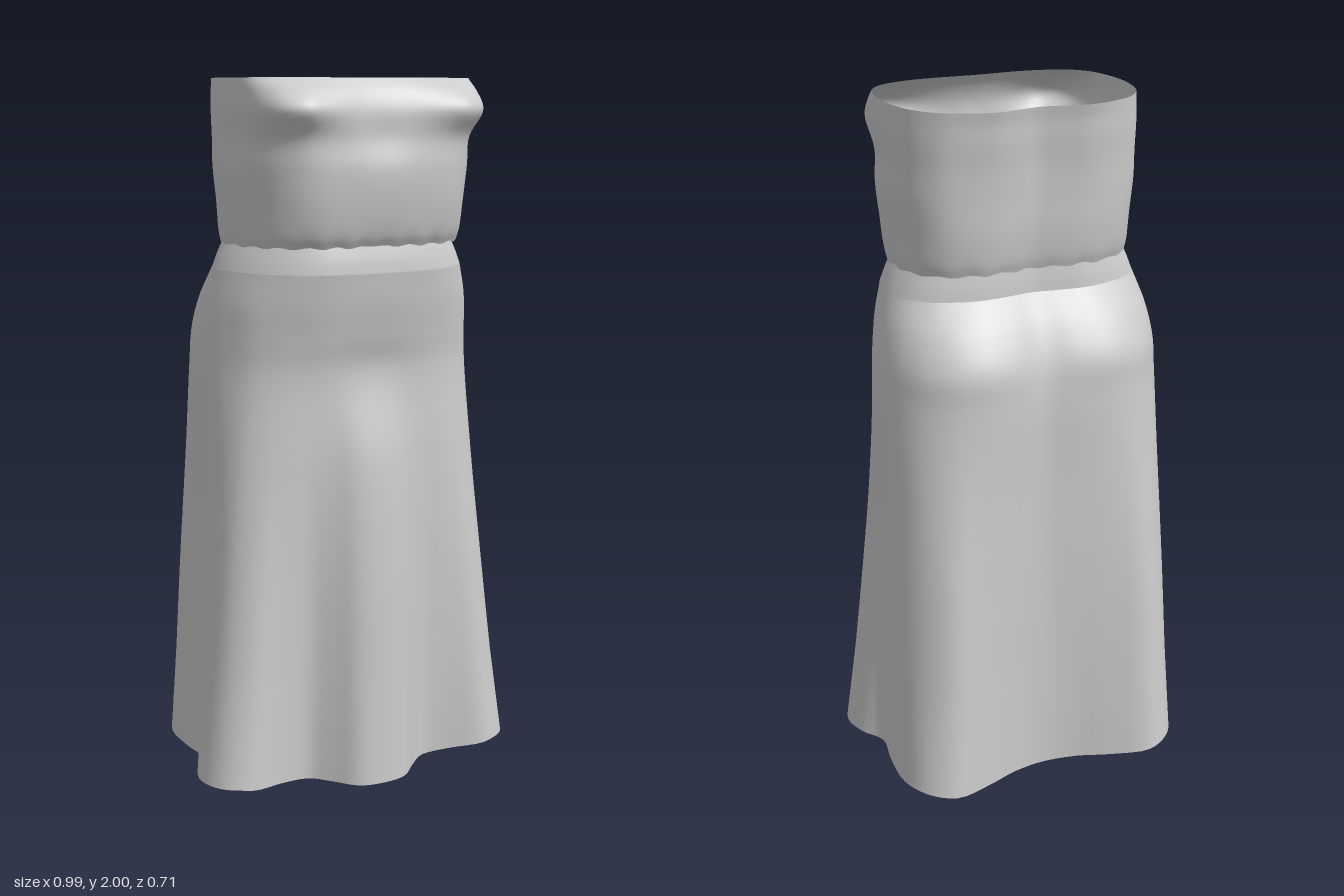
import * as THREE from 'three';

const cloth = new THREE.MeshStandardMaterial({ color: 0xcccccc, side: THREE.DoubleSide });

// Half outlines [x, z, x, z, ...] from centre front, round the left side, to centre back
const hem = [0, .335, .075, .322, .135, .265, .19, .224, .275, .232, .385, .265, .46, .23, .495, .15,
  .475, .07, .43, 0, .44, -.1, .44, -.23, .4, -.31, .32, -.352, .2, -.315, .1, -.275, 0, -.26];
const knee = [0, .318, .07, .306, .13, .265, .185, .237, .255, .235, .345, .23, .405, .185, .43, .12,
  .43, .06, .42, 0, .425, -.08, .42, -.18, .375, -.265, .3, -.317, .19, -.3, .09, -.278, 0, -.265];
const thigh = [0, .293, .065, .284, .125, .258, .18, .242, .24, .232, .31, .21, .365, .172, .397, .12,
  .412, .06, .416, 0, .417, -.08, .403, -.16, .36, -.235, .285, -.285, .19, -.291, .09, -.278, 0, -.265];
const hip = [0, .247, .06, .247, .115, .246, .165, .24, .22, .227, .285, .202, .34, .165, .38, .11,
  .405, .055, .418, 0, .415, -.07, .395, -.14, .35, -.21, .28, -.262, .19, -.285, .09, -.279, 0, -.264];
const seat = [0, .267, .06, .267, .115, .264, .165, .257, .22, .24, .285, .211, .338, .17, .376, .112,
  .4, .057, .412, 0, .407, -.07, .386, -.14, .342, -.208, .273, -.258, .185, -.28, .09, -.271, 0, -.25];
const belly = [0, .287, .06, .286, .115, .282, .165, .274, .22, .256, .28, .223, .333, .177, .368, .118,
  .388, .06, .395, 0, .388, -.065, .366, -.125, .322, -.18, .256, -.22, .177, -.237, .088, -.23, 0, -.213];
const waist = [0, .3, .06, .299, .11, .296, .16, .288, .21, .27, .262, .238, .31, .19, .345, .13,
  .365, .07, .37, .01, .36, -.04, .335, -.09, .29, -.13, .23, -.155, .16, -.17, .08, -.165, 0, -.155];
const midriff = [0, .332, .06, .334, .12, .332, .18, .322, .24, .297, .295, .25, .33, .19, .352, .12,
  .362, .04, .352, -.04, .325, -.11, .27, -.165, .2, -.192, .13, -.2, .06, -.192, 0, -.183];
const underBust = [0, .318, .06, .322, .12, .325, .18, .322, .24, .307, .292, .262, .326, .2, .347, .125,
  .358, .04, .349, -.04, .325, -.11, .27, -.17, .2, -.197, .13, -.206, .06, -.197, 0, -.187];
const bust = [0, .318, .06, .321, .12, .332, .18, .345, .24, .353, .3, .32, .335, .25, .35, .15,
  .36, .05, .35, -.04, .325, -.115, .27, -.175, .2, -.205, .13, -.216, .06, -.205, 0, -.194];
const rim = [0, .268, .06, .27, .12, .273, .18, .27, .23, .26, .29, .235, .33, .19, .35, .12,
  .357, .04, .347, -.04, .325, -.11, .27, -.178, .2, -.213, .13, -.228, .06, -.215, 0, -.205];

const scaled = (ring, sx, sz) => ring.map((v, i) => v * (i % 2 ? sz : sx));
const mix = (a, b, t) => a.map((v, i) => v + (b[i] - v) * t);

// Smooth open tube through rings of [height, half outline], mirrored across x
function loft(name, rings, rows, around, bend) {
  const columns = [];
  for (let k = 0; k < rings[0][1].length; k += 2) {
    columns.push(new THREE.CatmullRomCurve3(
      rings.map(([y, p]) => new THREE.Vector3(p[k], y, p[k + 1]))));
  }
  const pos = [], index = [];
  for (let r = 0; r <= rows; r++) {
    const half = columns.map(c => c.getPoint(r / rows));
    const mirrored = half.slice(1, -1).reverse().map(p => new THREE.Vector3(-p.x, p.y, p.z));
    const loop = new THREE.CatmullRomCurve3([...half, ...mirrored], true);
    for (let i = 0; i < around; i++) {
      const p = loop.getPoint(i / around);
      if (bend) bend(p, i / around * Math.PI * 2);
      pos.push(p.x, p.y, p.z);
      if (r === rows) continue;
      const a = r * around + i, b = r * around + (i + 1) % around;
      index.push(a, b, b + around, a, b + around, a + around);
    }
  }
  const geo = new THREE.BufferGeometry();
  geo.setAttribute('position', new THREE.Float32BufferAttribute(pos, 3));
  geo.setIndex(index);
  geo.computeVertexNormals();
  const mesh = new THREE.Mesh(geo, cloth);
  mesh.name = name;
  return mesh;
}

export function createModel() {
  const dress = new THREE.Group();
  dress.name = 'dress';

  // Flared skirt with deep folds; the hem lifts slightly at the sides
  dress.add(loft('skirt',
    [[0, hem], [.3, mix(hem, knee, .52)], [.6, knee], [.95, thigh], [1.2, hip],
      [1.3, seat], [1.39, belly], [1.48, waist]],
    56, 128,
    p => { p.y += .03 * Math.min(1, (p.x / .42) ** 2) * Math.max(0, 1 - p.y / .3); }));

  // Waistband tapering in under the bodice
  dress.add(loft('waistband',
    [[1.478, waist], [1.515, scaled(waist, .96, .985)], [1.56, scaled(waist, .9, .95)]], 6, 128));

  // Gathered strapless bodice with soft wrinkles and an uneven lower edge
  dress.add(loft('bodice',
    [[1.55, scaled(midriff, .945, .86)], [1.58, scaled(midriff, .96, .91)], [1.66, scaled(midriff, .975, .97)],
      [1.76, midriff], [1.84, underBust], [1.915, bust], [1.965, mix(bust, rim, .4)], [2, rim]],
    40, 128,
    (p, a) => {
      const low = Math.max(0, 1 - (p.y - 1.55) / .06);
      const mid = p.y < 1.85 ? Math.max(0, Math.sin((p.y - 1.55) / .3 * Math.PI)) : 0;
      const swell = 1 + .008 * mid * Math.cos(a * 8) + .004 * low * Math.sin(a * 17);
      p.x *= swell;
      p.z *= swell;
      p.y += .003 * low * Math.sin(a * 23);
    }));

  return dress;
}
